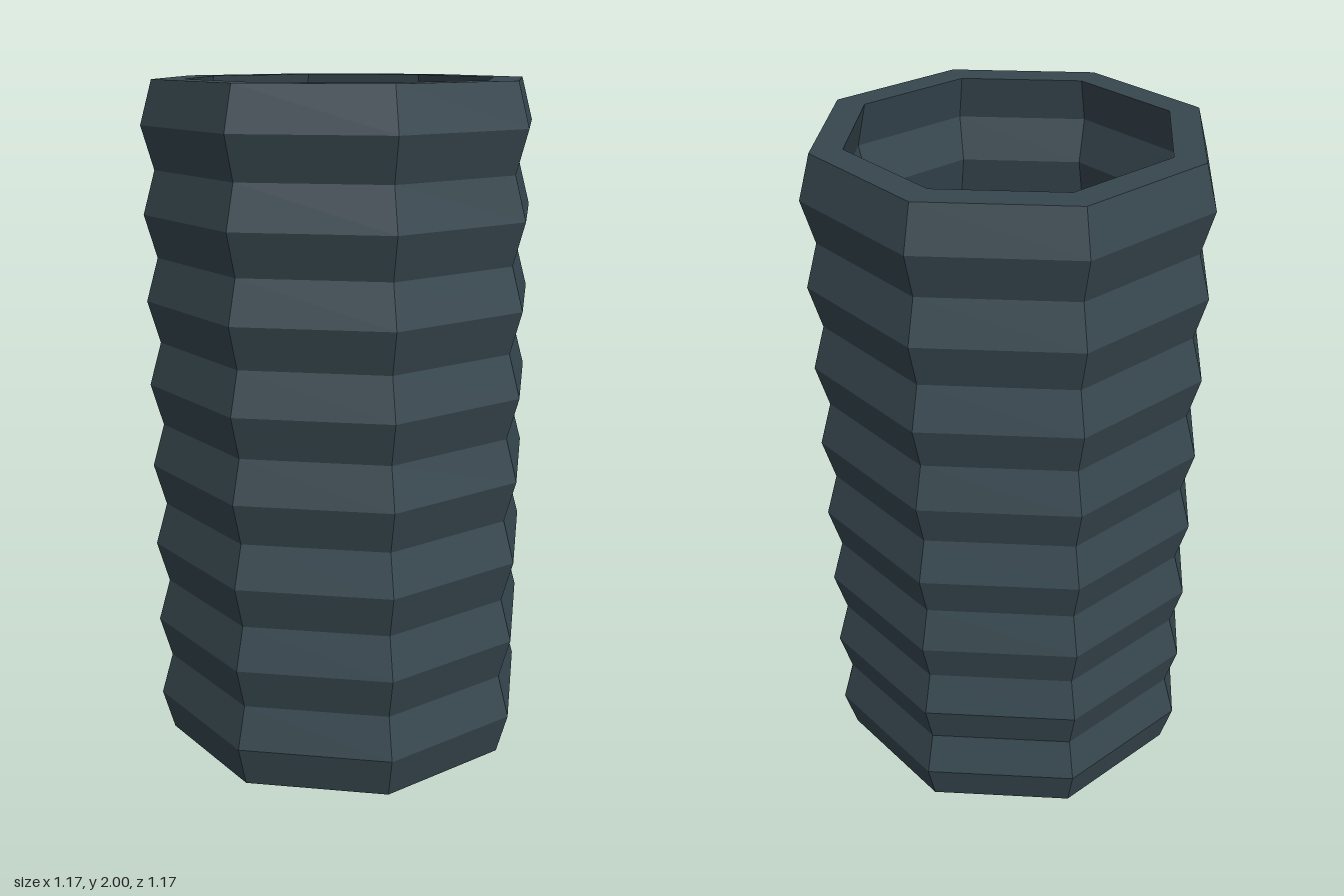
import * as THREE from 'three';

const SIDES = 8;
const RIDGES = 8;
const HEIGHT = 2;

// Zigzag wall from bottom to top: valleys at both ends, one peak per ridge
function zigzag(valley, peak) {
  const points = [];
  for (let i = 0; i <= RIDGES * 2; i++) {
    points.push(new THREE.Vector2(i % 2 ? peak : valley, (HEIGHT * i) / (RIDGES * 2)));
  }
  return points;
}

export function createModel() {
  const group = new THREE.Group();
  group.name = 'corrugatedPipe';

  // Closed profile: up the outside, across the top rim, down the inside, across the bottom rim
  const outer = zigzag(0.55, 0.585);
  const inner = zigzag(0.46, 0.49).reverse();
  const profile = [...outer, ...inner, outer[0].clone()];

  const material = new THREE.MeshStandardMaterial({ color: 0x37474f, flatShading: true });
  const wall = new THREE.Mesh(new THREE.LatheGeometry(profile, SIDES), material);
  wall.name = 'pipeWall';
  group.add(wall);

  return group;
}
